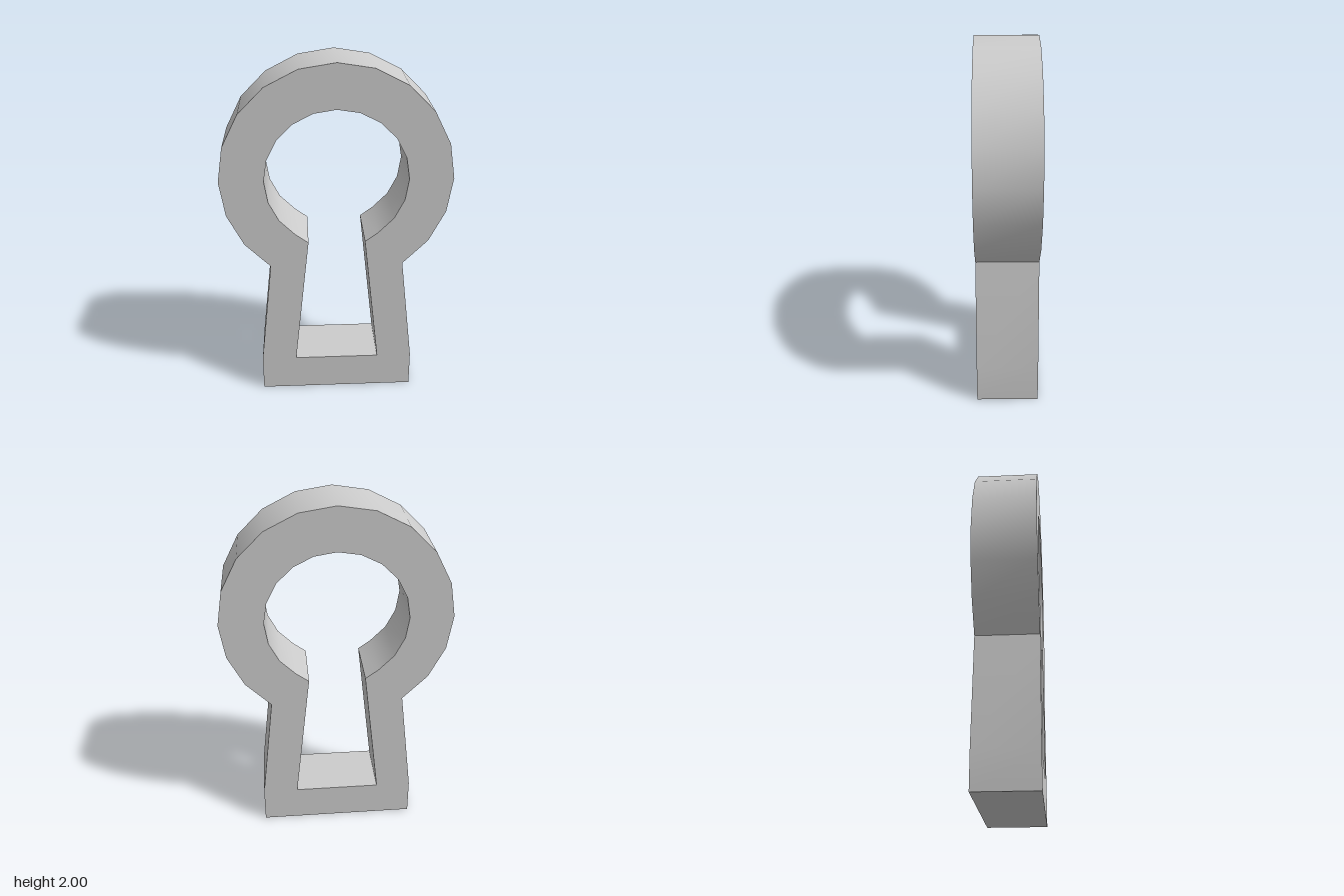
import * as THREE from 'three';
import { toCreasedNormals } from 'three/addons/utils/BufferGeometryUtils.js';

const CENTER_Y = 1.362;
const DEPTH = 0.348;

// Points of a 20-sided arc running over the top, from -54 degrees to 234 degrees
function arcPoints(radius) {
  const points = [];
  for (let i = -3; i <= 13; i++) {
    const a = (i * Math.PI) / 10;
    points.push(new THREE.Vector2(radius * Math.cos(a), CENTER_Y + radius * Math.sin(a)));
  }
  return points;
}

// Closed symmetric outline: right-hand points from the bottom up, the arc, then their mirror
function outline(rightSide, radius) {
  const right = rightSide.map(([x, y]) => new THREE.Vector2(x, y));
  const left = rightSide.map(([x, y]) => new THREE.Vector2(-x, y)).reverse();
  return [...right, ...arcPoints(radius), ...left];
}

export function createModel() {
  const group = new THREE.Group();
  group.name = 'keyhole';

  // Round head on splayed legs, standing on a straight base
  const shape = new THREE.Shape(outline([[0.447, 0], [0.447, 0.21]], 0.638));

  // Keyhole opening
  shape.holes.push(new THREE.Path(outline([[0.245, 0.21], [0.159, 0.99]], 0.394)));

  const extruded = new THREE.ExtrudeGeometry(shape, { depth: DEPTH, bevelEnabled: false });
  extruded.translate(0, 0, -DEPTH / 2);

  const frame = new THREE.Mesh(
    toCreasedNormals(extruded, 0.6),
    new THREE.MeshStandardMaterial({ color: 0xcccccc })
  );
  frame.name = 'keyholeFrame';
  group.add(frame);
  return group;
}
